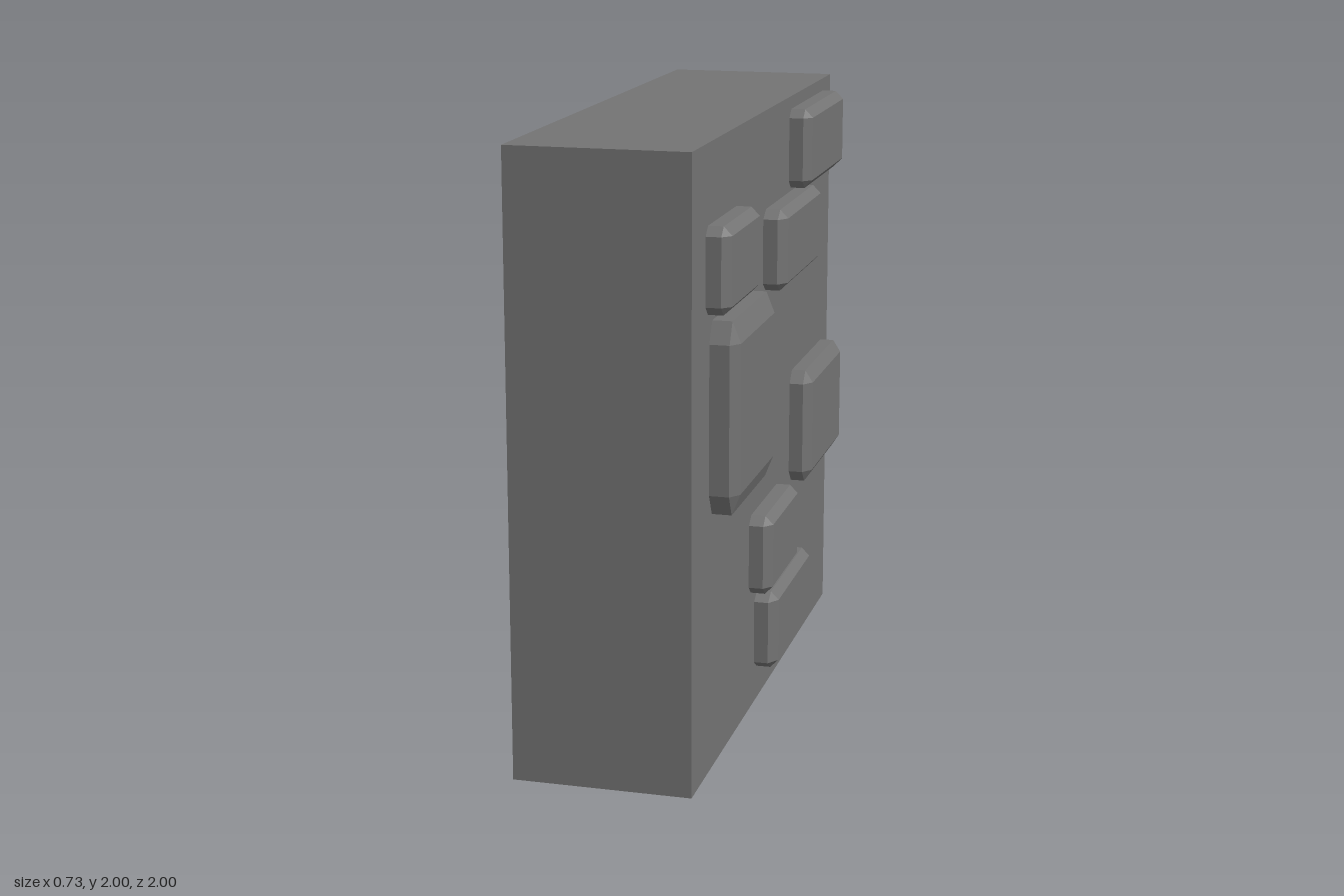
import * as THREE from 'three';
import { ConvexGeometry } from 'three/addons/geometries/ConvexGeometry.js';

const material = new THREE.MeshStandardMaterial({ color: 0x737373, flatShading: true });

// Box with every edge and corner cut; chamfer depth may differ per axis
function chamferedBox([x0, x1], [y0, y1], [z0, z1], [cx, cy, cz]) {
  const half = new THREE.Vector3(x1 - x0, y1 - y0, z1 - z0).multiplyScalar(0.5);
  const points = [];
  for (const sx of [-1, 1]) for (const sy of [-1, 1]) for (const sz of [-1, 1]) {
    const x = half.x - cx, y = half.y - cy, z = half.z - cz;
    for (const [px, py, pz] of [[half.x, y, z], [x, half.y, z], [x, y, half.z]]) {
      points.push(new THREE.Vector3(sx * px, sy * py, sz * pz));
    }
  }
  return new ConvexGeometry(points).translate((x0 + x1) / 2, (y0 + y1) / 2, (z0 + z1) / 2);
}

export function createModel() {
  const group = new THREE.Group();
  group.name = 'brickWall';

  // Plain wall slab
  const slab = new THREE.Mesh(new THREE.BoxGeometry(0.578, 2, 2), material);
  slab.name = 'wallSlab';
  slab.position.set(-0.012, 1, 0);
  group.add(slab);

  // Bricks pass through the slab and stand proud on both faces
  const through = [-0.367, 0.352];
  const bricks = [
    { name: 'topBrick', y: [1.686, 1.956], z: [-0.897, -0.31], c: [0.027, 0.028, 0.03] },
    { name: 'upperBrick', y: [1.403, 1.674], z: [-0.527, 0.075], c: [0.027, 0.028, 0.04] },
    { name: 'frontBrick', y: [1.482, 1.753], z: [0.42, 0.838], c: [0.027, 0.028, 0.03] },
    { name: 'largeStone', x: [-0.355, 0.367], y: [0.842, 1.454], z: [0.26, 0.79], c: [0.027, 0.068, 0.036] },
    { name: 'rearStone', y: [0.628, 1.031], z: [-0.928, -0.358], c: [0.027, 0.042, 0.038] },
    { name: 'lowerBrick', y: [0.408, 0.679], z: [-0.196, 0.25], c: [0.027, 0.028, 0.033] },
    { name: 'bottomBrick', y: [0.115, 0.386], z: [-0.415, 0.166], c: [0.027, 0.028, 0.042] },
  ];
  for (const { name, x = through, y, z, c } of bricks) {
    const brick = new THREE.Mesh(chamferedBox(x, y, z, c), material);
    brick.name = name;
    group.add(brick);
  }
  return group;
}
